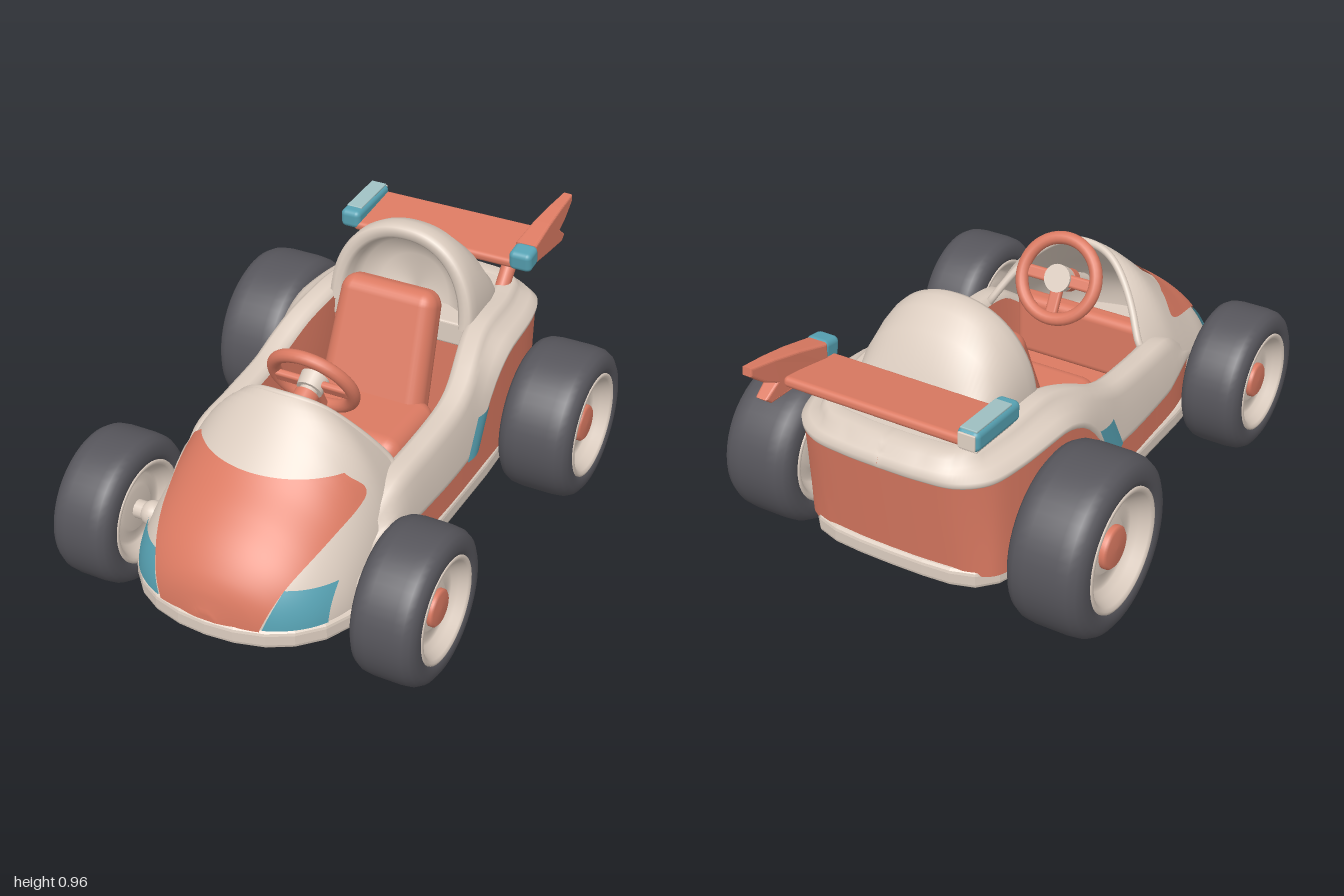
import * as THREE from 'three';
import { RoundedBoxGeometry } from 'three/addons/geometries/RoundedBoxGeometry.js';

const paint = (name, color) => new THREE.MeshStandardMaterial({ name, color, side: THREE.DoubleSide });
const coral = paint('coral', 0xdb7a62), cream = paint('cream', 0xdccdc0);
const rubber = paint('rubber', 0x56555b), teal = paint('teal', 0x57a2b3), paleTeal = paint('paleTeal', 0x9fc0c2);
const { lerp, clamp, smoothstep } = THREE.MathUtils;

// Smooth curve through [x, y] pairs (ascending x)
function curve(pts) {
  const slope = i => {
    const a = pts[Math.max(0, i - 1)], b = pts[Math.min(pts.length - 1, i + 1)];
    return (b[1] - a[1]) / (b[0] - a[0]);
  };
  return x => {
    x = clamp(x, pts[0][0], pts[pts.length - 1][0]);
    let i = 0;
    while (i < pts.length - 2 && x > pts[i + 1][0]) i++;
    const [x0, y0] = pts[i], [x1, y1] = pts[i + 1], d = x1 - x0, t = (x - x0) / d;
    return (2 * t ** 3 - 3 * t * t + 1) * y0 + (t ** 3 - 2 * t * t + t) * d * slope(i)
      + (3 * t * t - 2 * t ** 3) * y1 + (t ** 3 - t * t) * d * slope(i + 1);
  };
}

// Surface from a rule fn(u, v) -> [x, y, z]
function sheet(fn, nu, nv) {
  const pos = [], idx = [];
  for (let j = 0; j <= nv; j++) for (let i = 0; i <= nu; i++) pos.push(...fn(i / nu, j / nv));
  for (let j = 0; j < nv; j++) for (let i = 0; i < nu; i++) {
    const a = j * (nu + 1) + i, b = a + nu + 1;
    idx.push(a, a + 1, b, a + 1, b + 1, b);
  }
  const g = new THREE.BufferGeometry();
  g.setAttribute('position', new THREE.Float32BufferAttribute(pos, 3));
  g.setIndex(idx);
  g.computeVertexNormals();
  return g;
}

function add(parent, name, geo, mat, x = 0, y = 0, z = 0) {
  const m = new THREE.Mesh(geo, mat);
  m.name = name;
  m.position.set(x, y, z);
  parent.add(m);
  return m;
}
const rbox = (w, h, d, r) => new RoundedBoxGeometry(w, h, d, 4, r);

function rod(parent, name, a, b, r, mat) {
  const path = new THREE.LineCurve3(new THREE.Vector3(...a), new THREE.Vector3(...b));
  return add(parent, name, new THREE.TubeGeometry(path, 1, r, 14), mat);
}

// Flat symmetric slab from half an outline of [x, z], front to back
function slab(half, y0, y1, bevel) {
  const right = half.map(([x, z]) => new THREE.Vector2(x, -z));
  const left = half.slice(1, -1).reverse().map(([x, z]) => new THREE.Vector2(-x, -z));
  if (half[0][0] > 0) left.push(new THREE.Vector2(-half[0][0], -half[0][1]));
  const g = new THREE.ExtrudeGeometry(new THREE.Shape([...right, ...left]), {
    depth: y1 - y0 - 2 * bevel, bevelThickness: bevel, bevelSize: bevel, bevelOffset: -bevel, bevelSegments: 3 });
  return g.rotateX(-Math.PI / 2).translate(0, y0 + bevel, 0);
}

// Nose: half-width and crown height along z
const noseW = curve([[.3, .393], [.5, .396], [.65, .392], [.75, .376], [.85, .328], [.92, .255], [.96, .17], [.985, .04]]);
const noseH = curve([[.3, .68], [.4, .74], [.47, .765], [.55, .71], [.62, .645], [.7, .575], [.8, .505], [.88, .44], [.94, .37], [.97, .31], [.985, .24]]);
const nosePoint = (angle, z) => [noseW(z) * Math.sin(angle), .2 + (noseH(z) - .2) * Math.cos(angle), z];
const cowlEdge = angle => .475 - .155 * Math.min(1, (Math.sin(angle) / .75) ** 2);
// Point lying just above the nose skin for a given x, y
function onNose(x, y) {
  let lo = .45, hi = .992;
  for (let i = 0; i < 30; i++) {
    const z = (lo + hi) / 2;
    const f = (x / (noseW(z - .006) + .006)) ** 2 + ((y - .2) / (noseH(z - .006) - .194)) ** 2;
    if (f > 1) hi = z; else lo = z;
  }
  return [x, y, lo];
}

// Side shell: plan path and height curves
const plan = new THREE.CatmullRomCurve3([[.355, .64], [.402, .46], [.415, .2], [.417, -.1], [.41, -.4], [.388, -.62],
  [.348, -.745], [.265, -.81], [.14, -.83], [0, -.834]].map(([x, z]) => new THREE.Vector3(x, 0, z)));
const railTop = curve([[-.85, .65], [-.6, .66], [-.4, .67], [-.3, .655], [-.2, .62], [-.1, .57], [0, .535], [.2, .515], [.4, .5], [.5, .45], [.64, .35]]);
const railLow = curve([[-.85, .555], [-.4, .57], [-.28, .53], [-.2, .46], [-.12, .36], [-.05, .32], [.34, .32], [.4, .34], [.5, .36], [.64, .3]]);
// rule(z, tangent) -> [inset, y]
function shellPoint(u, rule) {
  const p = plan.getPoint(u), t = plan.getTangent(u), [inset, y] = rule(p.z, t);
  return [Math.max(0, p.x + t.z * inset), y, p.z - t.x * inset];
}
// Rails lean inwards beside the seat and behind it
const lean = (z, t) => .045 * (1 - smoothstep(z, -.38, -.05)) * Math.abs(t.z);
// Rail profile: inset, share of height, extra height
const railProfile = [[0, 0, 0], [-.006, 0, .008], [-.007, 0, .025], [.002, .5, 0], [.016, 1, -.04], [.026, 1, -.015],
  [.045, 1, 0], [.09, 1, 0], [.108, 1, -.008], [.115, 1, -.025]];

function buildShell(parent) {
  for (const side of [1, -1]) {
    const half = new THREE.Group();
    half.name = side > 0 ? 'leftSide' : 'rightSide';
    half.scale.x = side;
    parent.add(half);
    add(half, 'lowerPanel', sheet((u, v) => shellPoint(u, (z, t) =>
      [.055 * (1 - v) * t.x ** 2 * (z < 0 ? 1 : 0), lerp(.2, railLow(z), v)]), 70, 4), coral);
    add(half, 'sideRail', sheet((u, v) => {
      const [inset, k, dy] = railProfile[Math.round(v * (railProfile.length - 1))];
      return shellPoint(u, (z, t) => [inset + k * lean(z, t), lerp(railLow(z), railTop(z), k) + dy]);
    }, 70, railProfile.length - 1), cream);
    add(half, 'innerWall', sheet((u, v) => shellPoint(u, (z, t) =>
      [.115 + .015 * v + lean(z, t) * (1 - v), lerp(railTop(z) - .025, .23, v)]), 60, 3), coral);
    // slanted side lamp
    add(half, 'sideLamp', sheet((u, v) => [.427 + .007 * Math.sin(Math.PI * u), lerp(.325, .465, v),
      lerp(-.02, -.11, u) - .075 * v], 8, 8), teal);
    // headlamp
    add(half, 'headlamp', sheet((u, v) => onNose(lerp(.188 + .045 * v, .35, u), lerp(.222, .348 - .01 * u, v)), 14, 10), teal);
  }
}

// Headrest fairing rings: z, half-width, top height
const rings = [[-.645, .24, .66], [-.6, .255, .78], [-.53, .27, .885], [-.47, .277, .94], [-.42, .28, .957], [-.385, .28, .957],
  [-.368, .273, .95], [-.364, .258, .937], [-.366, .238, .918], [-.378, .226, .905], [-.41, .217, .895], [-.45, .2, .87], [-.48, .14, .8], [-.485, .01, .66]];
function fairingPoint(u, v) {
  const [z, w, top] = rings[Math.round(v * (rings.length - 1))], a = Math.PI * u, e = 2 / 2.2;
  const c = Math.cos(a), k = Math.abs(Math.sin(a)) ** e;
  return [w * Math.sign(c) * Math.abs(c) ** e, .63 + (top - .63) * k, z + .035 * (1 - k) * (z > -.5 ? 1 : 0)];
}

function buildWheel(parent, name, x, y, z, r, width, jointMat) {
  const g = new THREE.Group(), b = width / 2, s = Math.sign(x);
  g.name = name;
  g.position.set(x, y, z);
  parent.add(g);
  const lathe = pts => new THREE.LatheGeometry(pts.map(([p, q]) => new THREE.Vector2(p * r, q * b)), 48).rotateZ(-Math.PI / 2);
  const wall = [[.66, .84], [.7, .95], [.77, 1], [.87, .96], [.94, .86], [.985, .68], [1, .4]];
  add(g, 'tyre', lathe([...wall.map(([p, q]) => [p, -q]), ...wall.slice().reverse()]), rubber);
  for (const e of [1, -1]) {
    add(g, 'rim', lathe([[.7, .86], [.69, .96], [.655, .98], [.62, .92], [.56, .7], [.5, .55], [.46, .5], [.33, .52], [.29, .6], [0, .6]].map(([p, q]) => [p, q * e])), cream);
  }
  add(g, 'hubCap', lathe([[.24, .55], [.24, .72], [.21, .78], [0, .8]].map(([p, q]) => [p, q * s])), coral);
  rod(parent, 'axle', [s * .28, y, z], [x, y, z], .032, cream);
  add(parent, 'axleJoint', new THREE.SphereGeometry(.045, 18, 12), jointMat, s * .4, y, z);
}

function buildSpoiler(parent) {
  const g = new THREE.Group();
  g.name = 'spoiler';
  parent.add(g);
  add(g, 'wing', rbox(.66, .036, .245, .016), coral, -.01, .773, -.752).rotation.x = .12;
  for (const s of [1, -1]) rod(g, 'wingPost', [s * .25, .63, -.66], [s * .25, .77, -.78], .027, coral);
  // right tip: teal block with pale top and cream tail and underside
  const tip = new THREE.Group();
  tip.name = 'rightWingTip';
  tip.position.set(-.35, .79, -.75);
  tip.rotation.x = .06;
  g.add(tip);
  add(tip, 'tipBlock', rbox(.078, .07, .25, .02), teal);
  add(tip, 'tipTop', rbox(.06, .008, .2, .003), paleTeal, 0, .034, -.015);
  add(tip, 'tipUnderside', rbox(.06, .008, .21, .003), cream, 0, -.034, -.01);
  add(tip, 'tipTail', rbox(.06, .052, .008, .003), cream, 0, 0, -.124);
  add(g, 'leftWingTip', rbox(.085, .075, .08, .02), teal, .335, .792, -.645).rotation.x = .15;
  // forked fin, thinning toward its tip
  const fork = new THREE.Shape([[.68, .765], [.8, .752], [.92, .742], [.935, .755], [.885, .795], [.94, .825], [.99, .868],
    [.988, .884], [.9, .873], [.8, .855], [.68, .825]].map(p => new THREE.Vector2(...p)));
  const fin = new THREE.ExtrudeGeometry(fork, { depth: .056, bevelThickness: .012, bevelSize: .008, bevelSegments: 3 });
  fin.rotateY(Math.PI / 2).translate(.302, 0, 0);
  const p = fin.attributes.position;
  for (let i = 0; i < p.count; i++) p.setX(i, .372 - (.372 - p.getX(i)) * (1 - .55 * clamp((-.7 - p.getZ(i)) / .3, 0, 1)));
  fin.computeVertexNormals();
  add(g, 'fin', fin, coral);
}

function buildCockpit(parent) {
  add(parent, 'cockpitFloor', new THREE.BoxGeometry(.59, .03, .94), coral, 0, .235, .13);
  add(parent, 'bulkhead', new THREE.BoxGeometry(.6, .4, .03), coral, 0, .435, -.36);
  add(parent, 'seatCushion', rbox(.48, .2, .34, .06), coral, 0, .335, -.005);
  const back = rbox(.4, .46, .13, .055), p = back.attributes.position;
  for (let i = 0; i < p.count; i++) p.setX(i, p.getX(i) * (1 - .5 * Math.max(0, p.getY(i))));
  add(parent, 'seatBack', back, coral, 0, .568, -.215).rotation.x = -.36;
  // steering wheel and column
  const w = new THREE.Group();
  w.name = 'steeringWheel';
  w.position.set(0, .695, .28);
  w.rotation.x = .5;
  parent.add(w);
  add(w, 'ring', new THREE.TorusGeometry(.143, .023, 14, 44), coral);
  add(w, 'crossSpoke', rbox(.27, .045, .025, .01), coral, 0, 0, .01);
  add(w, 'lowerSpoke', rbox(.045, .13, .025, .01), coral, 0, -.07, .01);
  add(w, 'hub', new THREE.CylinderGeometry(.045, .05, .05, 24).rotateX(Math.PI / 2), cream, 0, 0, .01);
  rod(w, 'column', [0, 0, .01], [0, 0, .2], .032, cream);
  add(w, 'columnCollar', new THREE.CylinderGeometry(.042, .042, .04, 20).rotateX(Math.PI / 2), coral, 0, 0, .07);
  add(parent, 'dashboard', rbox(.54, .24, .08, .03), coral, 0, .36, .48);
}

export function createModel() {
  const kart = new THREE.Group();
  kart.name = 'kart';
  add(kart, 'floorPlate', slab([[0, .998], [.1, .99], [.2, .962], [.28, .915], [.35, .84], [.395, .74], [.415, .6], [.424, .4], [.424, -.2],
    [.414, -.42], [.39, -.6], [.355, -.7], [.3, -.76], [.22, -.786], [.12, -.794], [0, -.796]], .15, .22, .018), cream);

  // nose skin, hood panel and cowl rim
  add(kart, 'noseSkin', sheet((u, v) => {
    const a = (.5 - u) * Math.PI;
    return nosePoint(a, lerp(cowlEdge(a), .985, 1 - (1 - v) ** 2));
  }, 64, 48), cream);
  const hoodWidth = curve([[.22, .18], [.35, .235], [.45, .3], [.5, .327], [.54, .313], [.59, .262]]);
  add(kart, 'hood', sheet((u, v) => onNose((2 * u - 1) * hoodWidth(lerp(.215, .59, v)), lerp(.215, .59, v)), 48, 40), coral);
  const rim = [];
  for (let i = 0; i <= 24; i++) {
    const a = lerp(-.95, .95, i / 24);
    rim.push(new THREE.Vector3(...nosePoint(a, cowlEdge(a))).add(new THREE.Vector3(0, -.012, 0)));
  }
  add(kart, 'cowlRim', new THREE.TubeGeometry(new THREE.CatmullRomCurve3(rim), 60, .014, 10), cream);

  buildShell(kart);
  add(kart, 'rearDeck', slab([[.31, -.34], [.305, -.58], [.275, -.7], [.21, -.765], [0, -.78]], .56, .648, .008), cream);
  add(kart, 'headrestFairing', sheet(fairingPoint, 40, rings.length - 1), cream);
  buildCockpit(kart);
  buildSpoiler(kart);

  buildWheel(kart, 'frontLeftWheel', .565, .27, .66, .26, .23, cream);
  buildWheel(kart, 'frontRightWheel', -.53, .27, .66, .26, .225, cream);
  buildWheel(kart, 'rearLeftWheel', .567, .282, -.495, .275, .27, coral);
  buildWheel(kart, 'rearRightWheel', -.567, .307, -.525, .305, .275, coral);
  return kart;
}
